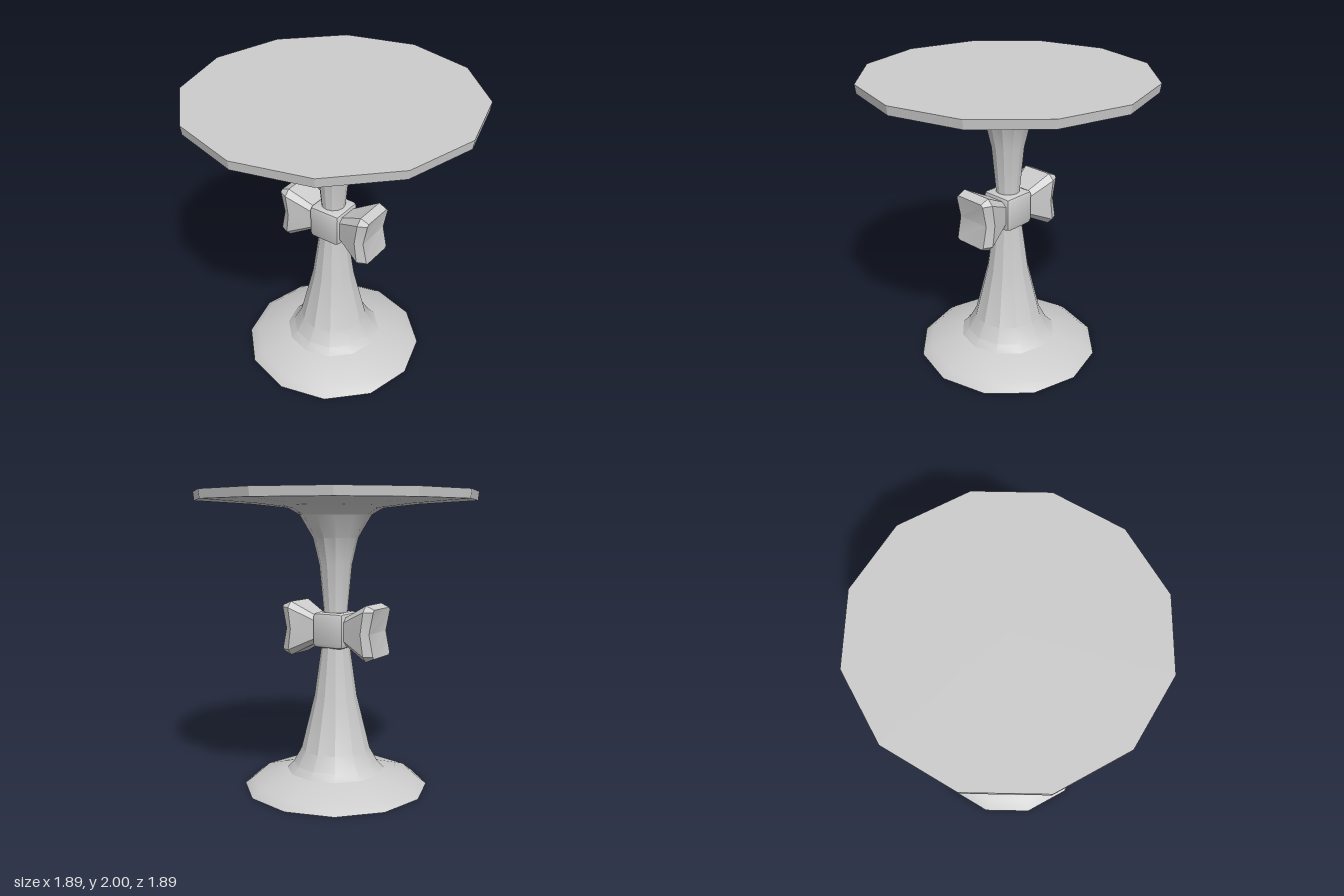
import * as THREE from 'three';
import { toCreasedNormals } from 'three/addons/utils/BufferGeometryUtils.js';
import { RoundedBoxGeometry } from 'three/addons/geometries/RoundedBoxGeometry.js';

const material = new THREE.MeshStandardMaterial({ color: 0xcccccc, side: THREE.DoubleSide });

function part(name, geometry, crease) {
  const mesh = new THREE.Mesh(toCreasedNormals(geometry, crease), material);
  mesh.name = name;
  return mesh;
}

// Chamfered cross-section at x; its middle row sits at xMid
function section({ x, xMid, hy, hz, c }) {
  return [
    [xMid, 0, hz], [x, hy - c, hz], [x, hy, hz - c], [x, hy, c - hz], [x, hy - c, -hz],
    [xMid, 0, -hz], [x, c - hy, -hz], [x, -hy, c - hz], [x, -hy, hz - c], [x, c - hy, hz],
  ];
}

// One bow loop lofted from the knot outwards, with a creased end
function bowLoopGeometry() {
  const rings = [
    { x: 0.08, xMid: 0.08, hy: 0.08, hz: 0.085, c: 0.025 },
    { x: 0.12, xMid: 0.12, hy: 0.095, hz: 0.095, c: 0.03 },
    { x: 0.29, xMid: 0.27, hy: 0.185, hz: 0.148, c: 0.04 },
    { x: 0.35, xMid: 0.32, hy: 0.16, hz: 0.12, c: 0.015 },
  ].map(section);
  const n = 10;
  const index = [];
  for (let r = 0; r < rings.length - 1; r++) {
    for (let i = 0; i < n; i++) {
      const a = r * n + i, b = r * n + (i + 1) % n;
      index.push(a, a + n, b, b, a + n, b + n);
    }
  }
  // End cap: an upper and a lower half meeting at the middle row
  const e = (rings.length - 1) * n;
  for (const half of [[0, 1, 2, 3, 4, 5], [5, 6, 7, 8, 9, 0]]) {
    for (let i = 1; i < 5; i++) index.push(e + half[0], e + half[i + 1], e + half[i]);
  }
  // Cap winding runs opposite to the section order, so it faces outwards
  const geometry = new THREE.BufferGeometry();
  geometry.setAttribute('position', new THREE.Float32BufferAttribute(rings.flat(2), 3));
  geometry.setIndex(orient(index, rings.flat()));
  return geometry;
}

// Turn every triangle away from the loop's axis
function orient(index, points) {
  const inside = new THREE.Vector3(0.2, 0, 0);
  const v = points.map((p) => new THREE.Vector3(...p));
  const normal = new THREE.Vector3();
  for (let i = 0; i < index.length; i += 3) {
    const [a, b, c] = [v[index[i]], v[index[i + 1]], v[index[i + 2]]];
    new THREE.Triangle(a, b, c).getNormal(normal);
    if (normal.dot(a.clone().sub(inside)) < 0) [index[i + 1], index[i + 2]] = [index[i + 2], index[i + 1]];
  }
  return index;
}

export function createModel() {
  const group = new THREE.Group();
  group.name = 'pedestalTable';

  // Hollow flared pedestal and tabletop in one twelve-sided turning
  const profile = [
    [0.63, 0], [0.565, 0.05], [0.335, 0.115], [0.29, 0.16], [0.235, 0.26], [0.145, 0.63],
    [0.1, 0.95], [0.08, 1.2], [0.11, 1.52], [0.152, 1.7], [0.24, 1.85], [0.315, 1.893],
    [0.55, 1.918], [0.938, 1.942], [0.945, 2], [0, 2],
  ].map(([x, y]) => new THREE.Vector2(x, y));
  group.add(part('pedestalAndTop', new THREE.LatheGeometry(profile, 12), 0.5));

  // Bow around the waist of the pedestal
  const bow = new THREE.Group();
  bow.name = 'bow';
  bow.position.y = 1.085;
  bow.add(part('knot', new RoundedBoxGeometry(0.235, 0.24, 0.235, 1, 0.03), 0.6));
  const leftLoop = part('leftLoop', bowLoopGeometry(), 0.4);
  const rightLoop = leftLoop.clone();
  rightLoop.name = 'rightLoop';
  rightLoop.rotation.y = Math.PI;
  bow.add(leftLoop, rightLoop);
  group.add(bow);

  return group;
}
